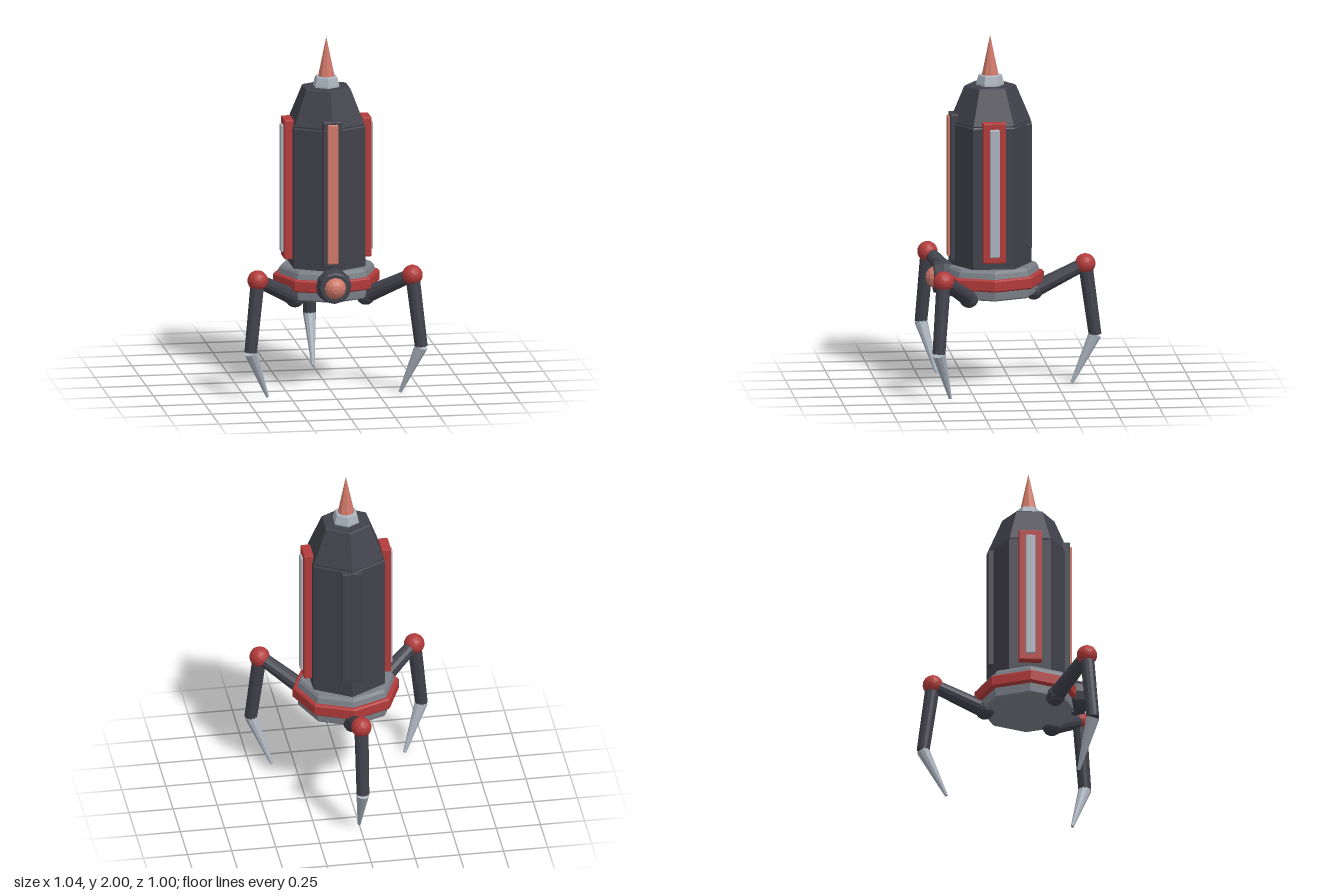
import * as THREE from 'three';
import { RoundedBoxGeometry } from 'three/addons/geometries/RoundedBoxGeometry.js';

const mat = (name, color) => {
  const m = new THREE.MeshStandardMaterial({ color, flatShading: true });
  m.name = name;
  return m;
};

export function createModel() {
  const charcoal = mat('charcoal', 0x40414b);
  const red = mat('red', 0xb23a3a);
  const salmon = mat('salmon', 0xcf7868);
  const steel = mat('light steel', 0xaab3be);
  const grey = mat('mid grey', 0x7a7f87);

  const model = new THREE.Group();
  model.name = 'walkerTower';
  const core = new THREE.Group(); // everything is arranged around the tower axis
  core.name = 'core';
  core.position.z = 0.125;
  model.add(core);

  const add = (parent, name, geometry, material, x = 0, y = 0, z = 0) => {
    const mesh = new THREE.Mesh(geometry, material);
    mesh.name = name;
    mesh.position.set(x, y, z);
    parent.add(mesh);
    return mesh;
  };
  // Faceted solid of revolution from [radius, height] pairs, bottom to top
  const turned = (parent, name, material, sides, profile) =>
    add(parent, name, new THREE.LatheGeometry(profile.map(([r, y]) => new THREE.Vector2(r, y)), sides), material);
  // Bevelled box
  const plate = (name, material, w, h, d, x, y, z) =>
    add(core, name, new RoundedBoxGeometry(w, h, d, 1, 0.006), material, x, y, z);
  // Tapered rod between two points
  const rod = (parent, name, material, a, b, ra, rb, sides) => {
    const dir = b.clone().sub(a);
    const mesh = add(parent, name, new THREE.CylinderGeometry(rb, ra, dir.length(), sides), material);
    mesh.position.copy(a).add(b).multiplyScalar(0.5);
    mesh.quaternion.setFromUnitVectors(new THREE.Vector3(0, 1, 0), dir.normalize());
    return mesh;
  };

  // Hexagonal tower with tapered shoulder
  turned(core, 'towerBody', charcoal, 6, [[0, 0.69], [0.225, 0.69], [0.234, 0.7], [0.234, 1.5], [0.228, 1.508], [0, 1.508]]);
  turned(core, 'towerShoulder', charcoal, 6, [[0, 1.505], [0.226, 1.508], [0.228, 1.515], [0.146, 1.71], [0.138, 1.716], [0, 1.716]]);
  turned(core, 'spikeCollar', steel, 6, [[0, 1.71], [0.078, 1.715], [0.078, 1.725], [0.067, 1.77], [0.062, 1.775], [0, 1.775]]);
  turned(core, 'spike', salmon, 8, [[0, 1.77], [0.047, 1.772], [0, 2]]);

  // Octagonal base with red band
  turned(core, 'base', grey, 8, [[0, 0.53], [0.262, 0.53], [0.27, 0.538], [0.278, 0.65], [0.268, 0.685], [0.254, 0.7], [0, 0.7]]);
  turned(core, 'baseBand', red, 8, [[0.26, 0.587], [0.294, 0.587], [0.302, 0.595], [0.302, 0.647], [0.294, 0.655], [0.26, 0.655]]);

  // Side panels with light inlays
  for (const s of [1, -1]) {
    plate('sidePanel', red, 0.055, 0.8, 0.13, s * 0.22, 1.142, 0);
    plate('sideInlay', steel, 0.03, 0.73, 0.055, s * 0.247, 1.142, 0);
  }

  // Front strip and back plate
  plate('frontFrame', charcoal, 0.11, 0.835, 0.05, 0, 1.143, 0.205);
  plate('frontStrip', salmon, 0.06, 0.8, 0.03, 0, 1.145, 0.227);
  plate('backPlate', charcoal, 0.12, 0.71, 0.05, 0, 1.145, -0.205);

  // Front eye
  const eye = new THREE.Group();
  eye.name = 'eye';
  eye.position.set(0, 0.625, 0.22);
  eye.rotation.x = Math.PI / 2;
  core.add(eye);
  turned(eye, 'eyeHousing', charcoal, 12, [[0, 0], [0.09, 0], [0.1, 0.03], [0.1, 0.045], [0.088, 0.097], [0.08, 0.101], [0, 0.101]]);
  add(eye, 'eyeLens', new THREE.SphereGeometry(0.066, 12, 8), salmon, 0, 0.077, 0);

  // Three legs, each built outward along local +x and turned about the axis
  const hip = new THREE.Vector3(0.245, 0.54, 0);
  const knee = new THREE.Vector3(0.535, 0.685, 0);
  const ankle = new THREE.Vector3(0.59, 0.28, 0);
  const tip = new THREE.Vector3(0.459, 0.006, 0);
  const legs = [['leftFrontLeg', -35], ['rightFrontLeg', 215], ['backLeg', 90]];
  for (const [name, degrees] of legs) {
    const leg = new THREE.Group();
    leg.name = name;
    leg.rotation.y = THREE.MathUtils.degToRad(degrees);
    core.add(leg);
    add(leg, 'hipJoint', new THREE.SphereGeometry(0.055, 12, 8), charcoal).position.copy(hip);
    rod(leg, 'upperLeg', charcoal, hip, knee, 0.047, 0.038, 12);
    add(leg, 'kneeJoint', new THREE.IcosahedronGeometry(0.058, 2), red).position.copy(knee);
    rod(leg, 'lowerLeg', charcoal, knee, ankle, 0.04, 0.036, 12);
    rod(leg, 'claw', steel, ankle, tip, 0.037, 0.009, 10);
  }
  return model;
}
